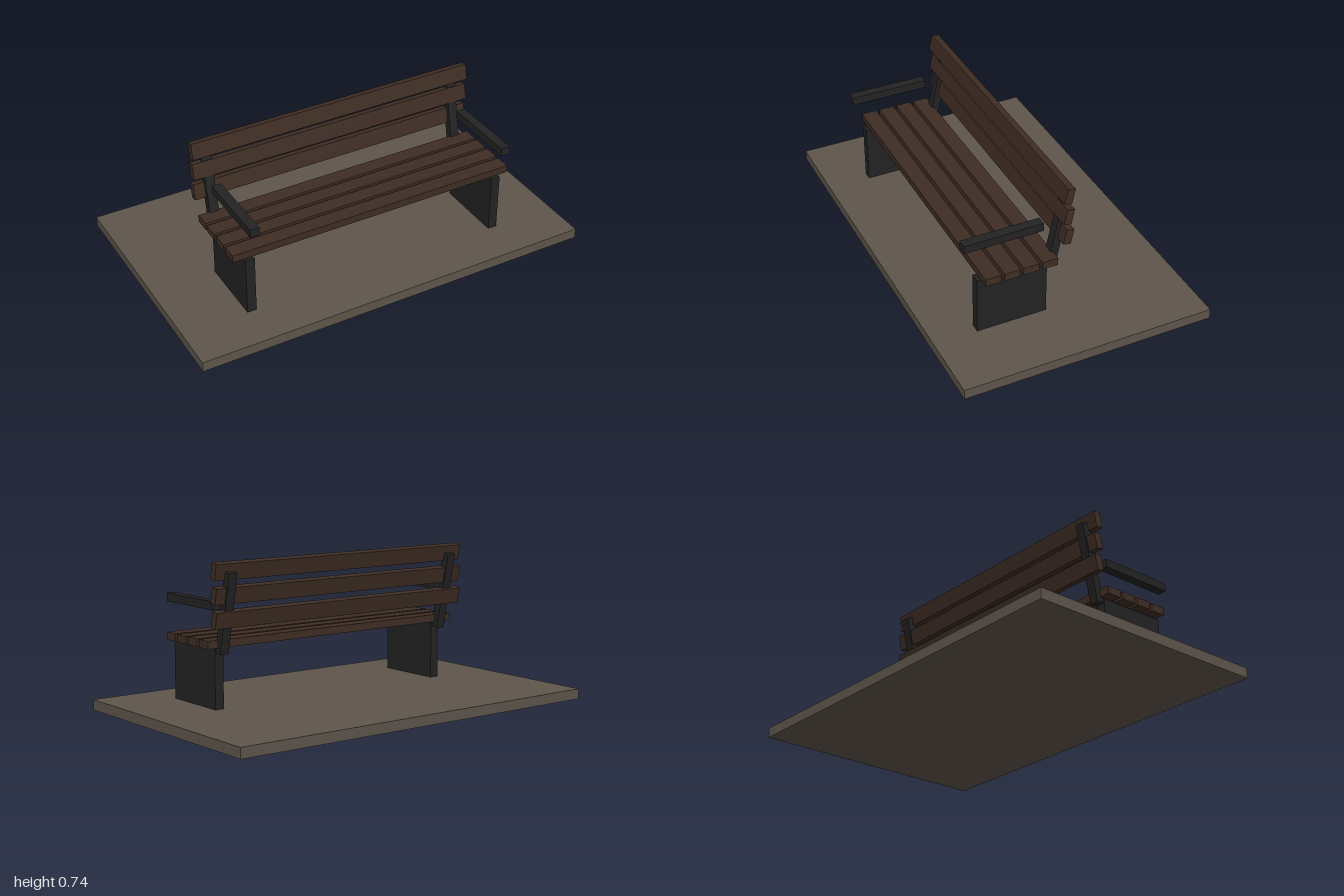
import * as THREE from 'three';

export function createModel() {
  const model = new THREE.Group();
  model.name = 'parkBench';

  const material = (name, color) => {
    const m = new THREE.MeshStandardMaterial({ color });
    m.name = name;
    return m;
  };
  const stone = material('stone', 0x5e554b);
  const wood = material('darkWood', 0x3f2d24);
  const metal = material('blackMetal', 0x232323);

  const box = (name, mat, size, position, tilt = 0) => {
    const mesh = new THREE.Mesh(new THREE.BoxGeometry(...size), mat);
    mesh.name = name;
    mesh.position.set(...position);
    mesh.rotation.x = tilt;
    model.add(mesh);
  };

  const lean = -THREE.MathUtils.degToRad(12); // backrest leans to the rear

  // Ground slab
  box('groundSlab', stone, [2, 0.05, 1.232], [0, 0.025, 0]);

  // Seat slats
  for (let i = 0; i < 4; i++) {
    box('seatSlat', wood, [1.46, 0.037, 0.076], [0, 0.358, 0.348 - i * 0.0925]);
  }

  // Backrest slats, stacked vertically and each tilted
  for (let i = 0; i < 3; i++) {
    box('backSlat', wood, [1.46, 0.077, 0.037], [0, 0.478 + i * 0.109, -0.0165], lean);
  }

  // Legs, back posts and armrests on both sides
  for (const side of [-1, 1]) {
    const x = side * 0.654;
    box(side > 0 ? 'leftLeg' : 'rightLeg', metal, [0.046, 0.31, 0.344], [x, 0.185, 0.232]);
    box(side > 0 ? 'leftBackPost' : 'rightBackPost', metal, [0.046, 0.386, 0.04], [x, 0.503, -0.004], lean);
    box(side > 0 ? 'leftArmrest' : 'rightArmrest', metal, [0.046, 0.04, 0.384], [x, 0.528, 0.272]);
  }

  return model;
}
